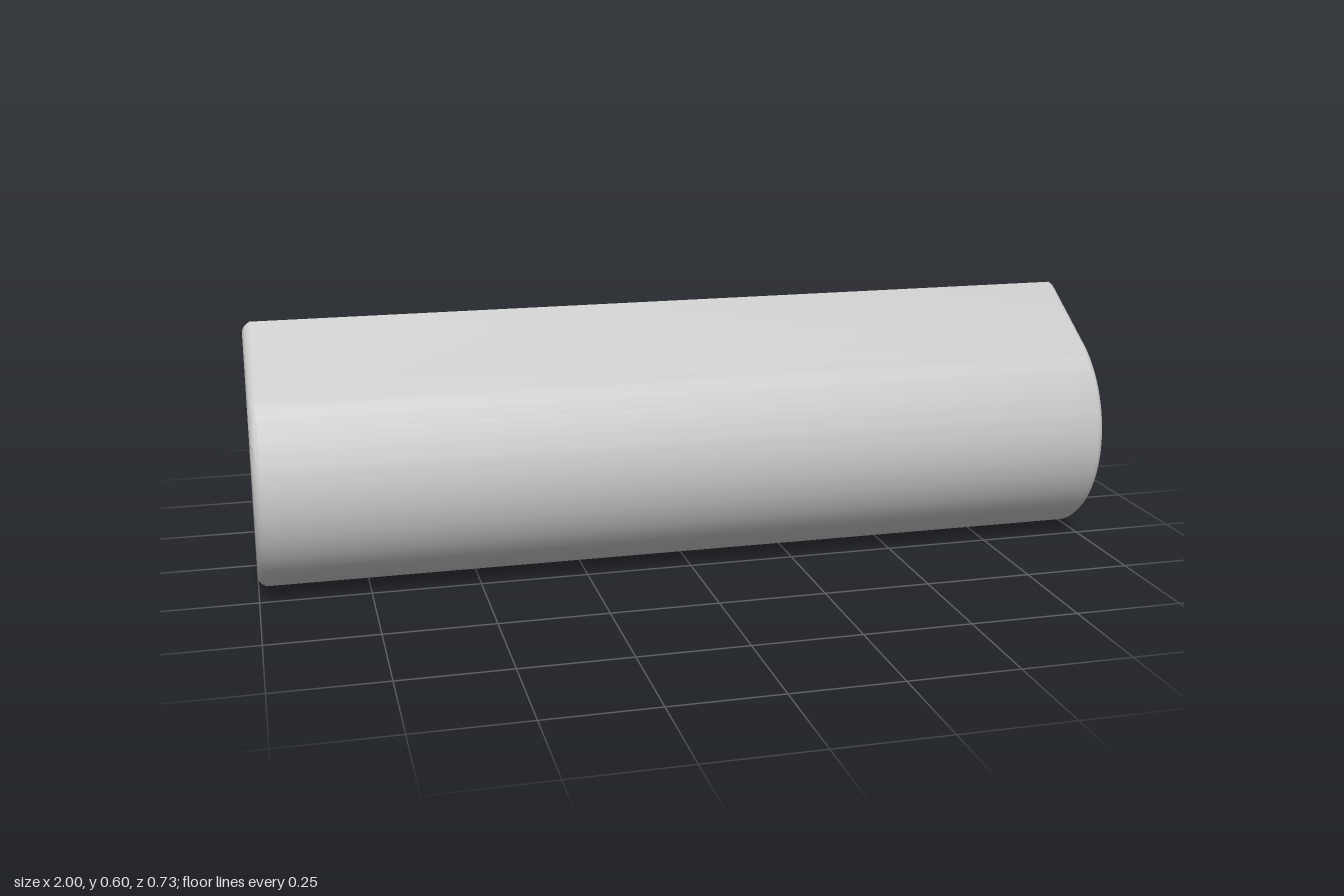
import * as THREE from 'three';
import { toCreasedNormals } from 'three/addons/utils/BufferGeometryUtils.js';

const ARC_STEPS = 36;
const END_ROLL = 0.018; // how far the rounded ends curve back

// Cross-section as pairs [outer s, outer y, inner s, inner y], where s = -z
function profilePairs() {
  const pairs = [[-0.053, 0.603, -0.053, 0.548]]; // upper lip
  // round front wall
  const cs = -0.1, cy = 0.265, R = 0.264, r = 0.219;
  for (let i = 0; i <= ARC_STEPS; i++) {
    const a = THREE.MathUtils.degToRad(121 + (150 * i) / ARC_STEPS);
    const c = Math.cos(a), s = Math.sin(a);
    pairs.push([cs + R * c, cy + R * s, cs + r * c, cy + r * s]);
  }
  // shallow curve rising to the back
  const sweep = [[-0.036, 0.008, -0.042, 0.052], [0, 0.016, -0.012, 0.058], [0.05, 0.033, 0.035, 0.075],
    [0.1, 0.056, 0.08, 0.096], [0.15, 0.086, 0.125, 0.124], [0.2, 0.123, 0.17, 0.156], [0.236, 0.157, 0.199, 0.184]];
  // stepped neck and upturned hook
  const hook = [[0.247, 0.176, 0.212, 0.206], [0.255, 0.19, 0.221, 0.222], [0.266, 0.2, 0.233, 0.235],
    [0.28, 0.208, 0.248, 0.244], [0.357, 0.25, 0.305, 0.277], [0.363, 0.262, 0.305, 0.284], [0.363, 0.31, 0.305, 0.31]];
  return pairs.concat(sweep, hook);
}

// Row of points at one x; t runs through the wall from outer (0) to inner (1)
function rowAt(pairs, x, t) {
  return pairs.map(([os, oy, is, iy]) => new THREE.Vector3(x, oy + (iy - oy) * t, -(os + (is - os) * t)));
}

// Open surface joining rows that have the same number of points
function sheet(name, rows) {
  const pos = [];
  for (let k = 0; k < rows.length - 1; k++) {
    const a = rows[k], b = rows[k + 1];
    for (let i = 0; i < a.length - 1; i++) {
      [a[i], a[i + 1], b[i + 1], a[i], b[i + 1], b[i]].forEach((p) => pos.push(p.x, p.y, p.z));
    }
  }
  const geo = new THREE.BufferGeometry();
  geo.setAttribute('position', new THREE.Float32BufferAttribute(pos, 3));
  const material = new THREE.MeshStandardMaterial({ color: 0xcccccc, side: THREE.DoubleSide });
  const mesh = new THREE.Mesh(toCreasedNormals(geo, 0.6), material);
  mesh.name = name;
  return mesh;
}

export function createModel() {
  const group = new THREE.Group();
  group.name = 'clipChannel';
  const pairs = profilePairs();
  const inset = 1 - END_ROLL;
  const bothEnds = (points) => [-inset, inset].map((x) => points.map(([s, y]) => new THREE.Vector3(x, y, -s)));

  // outer shell, rolled over at both ends to the inner rim
  const rightHalf = [];
  const steps = 10;
  for (let k = 0; k <= steps; k++) {
    const t = k / steps;
    rightHalf.push([1 - END_ROLL * Math.abs(2 * t - 1) ** 2.5, t]);
  }
  const rows = [
    ...rightHalf.slice().reverse().map(([x, t]) => rowAt(pairs, -x, t)),
    ...rightHalf.map(([x, t]) => rowAt(pairs, x, t)),
  ];
  group.add(sheet('outerShell', rows));

  // inner lining of the round front wall
  const lining = pairs.slice(1, ARC_STEPS + 3).map(([, , s, y]) => [s, y]).reverse();
  group.add(sheet('innerLining', bothEnds(lining)));

  // edge of the upper lip
  const [os, oy, is, iy] = pairs[0];
  group.add(sheet('upperLipEdge', bothEnds([[is, iy], [os, oy]])));

  // top and front face of the back hook
  group.add(sheet('hookEdge', bothEnds([[0.363, 0.31], [0.305, 0.31], [0.305, 0.277]])));
  return group;
}
